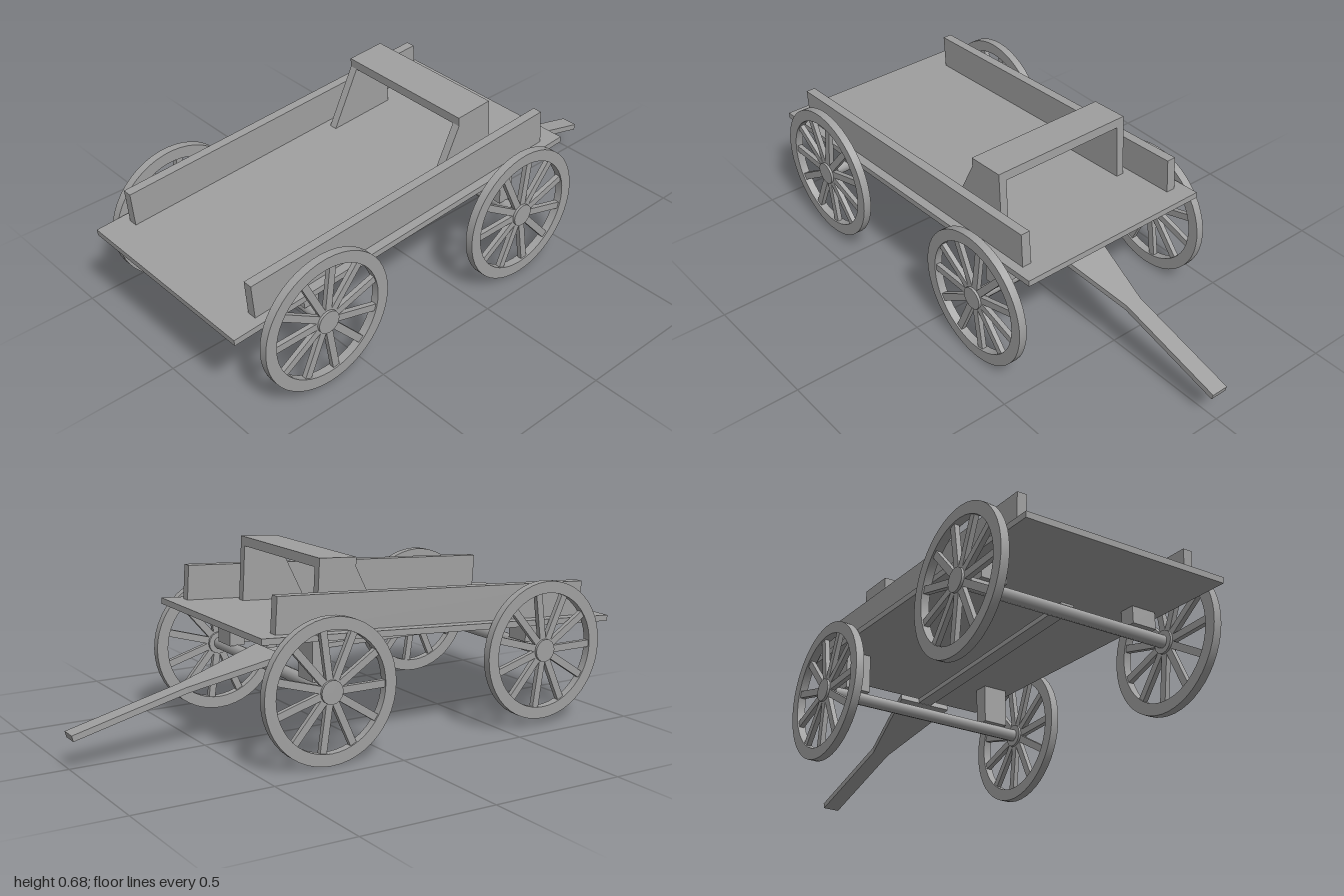
import * as THREE from 'three';
import { toCreasedNormals } from 'three/addons/utils/BufferGeometryUtils.js';

const wood = new THREE.MeshStandardMaterial({ color: 0xa0a0a0 });
wood.name = 'grey wood';

function part(name, geometry, parent, x = 0, y = 0, z = 0) {
  const mesh = new THREE.Mesh(geometry, wood);
  mesh.name = name;
  mesh.position.set(x, y, z);
  parent.add(mesh);
  return mesh;
}

const box = (w, h, d) => new THREE.BoxGeometry(w, h, d);

function polygon(points, depth) {
  const shape = new THREE.Shape(points.map(([x, y]) => new THREE.Vector2(x, y)));
  return new THREE.ExtrudeGeometry(shape, { depth, bevelEnabled: false });
}

// Spoked wheel lying in the xy plane
function makeWheel(name) {
  const wheel = new THREE.Group();
  wheel.name = name;
  const ring = new THREE.Shape().absarc(0, 0, 0.255, 0, Math.PI * 2);
  ring.holes.push(new THREE.Path().absarc(0, 0, 0.212, 0, Math.PI * 2, true));
  const rim = new THREE.ExtrudeGeometry(ring, { depth: 0.03, bevelEnabled: false, curveSegments: 24 });
  rim.translate(0, 0, -0.015);
  part('rim', toCreasedNormals(rim, 0.6), wheel);

  const hub = new THREE.CylinderGeometry(0.042, 0.042, 0.036, 16);
  hub.rotateX(Math.PI / 2);
  part('hub', hub, wheel);

  const count = 11;
  for (let i = 0; i < count; i++) {
    const spoke = box(0.026, 0.19, 0.018);
    spoke.translate(0, 0.125, 0);
    part('spoke', spoke, wheel).rotation.z = -0.14 + (i / count) * Math.PI * 2;
  }
  return wheel;
}

export function createModel() {
  const wagon = new THREE.Group();
  wagon.name = 'wagon';

  // Tilted bed: origin on the top surface of the deck
  const bed = new THREE.Group();
  bed.name = 'bed';
  bed.position.set(-0.26, 0.415, -0.005);
  bed.rotation.z = 0.061;
  wagon.add(bed);
  part('deck', box(1.482, 0.022, 0.764), bed, 0, -0.011, 0);
  for (const side of [1, -1]) {
    part('sideBoard', box(1.302, 0.128, 0.035), bed, 0.018, 0.064, side * 0.328 + 0.003);
  }

  // Bench: slab on two sloping plates
  part('seat', box(0.146, 0.034, 0.558), bed, 0.403, 0.22, 0.001);
  const leg = polygon([[0.211, 0], [0.474, 0], [0.476, 0.204], [0.33, 0.204]], 0.03);
  leg.translate(0, 0, -0.015);
  for (const side of [1, -1]) part('seatLeg', leg, bed, 0, 0, side * 0.264 + 0.001);

  // Axles with wheels and bolster blocks
  const axles = [
    { label: 'front', x: 0.238, y: 0.257, top: 0.43 },
    { label: 'rear', x: -0.667, y: 0.283, top: 0.375 },
  ];
  for (const { label, x, y, top } of axles) {
    const axle = new THREE.CylinderGeometry(0.023, 0.023, 0.836, 10);
    axle.rotateX(Math.PI / 2);
    part(label + 'Axle', axle, wagon, x, y, 0.001);
    for (const side of [1, -1]) {
      const wheel = makeWheel(label + 'Wheel');
      wheel.position.set(x, y, side * 0.411 + 0.001);
      wagon.add(wheel);
      const bottom = y + 0.02;
      part(label + 'Bolster', box(0.06, top - bottom, 0.095), wagon,
        x, (top + bottom) / 2, side * 0.298 - 0.003);
    }
  }

  // Reach pole joining the axles
  part('reach', box(0.92, 0.018, 0.05), wagon, -0.214, 0.306, -0.004);

  // Draw tongue, wide at the axle and sloping down
  const tongue = polygon([
    [0, -0.1], [0.352, -0.032], [0.783, -0.032],
    [0.783, 0.032], [0.352, 0.032], [0, 0.1],
  ], 0.022);
  tongue.rotateX(Math.PI / 2);
  part('tongue', tongue, wagon, 0.24, 0.317, -0.004).rotation.z = -0.245;

  return wagon;
}
